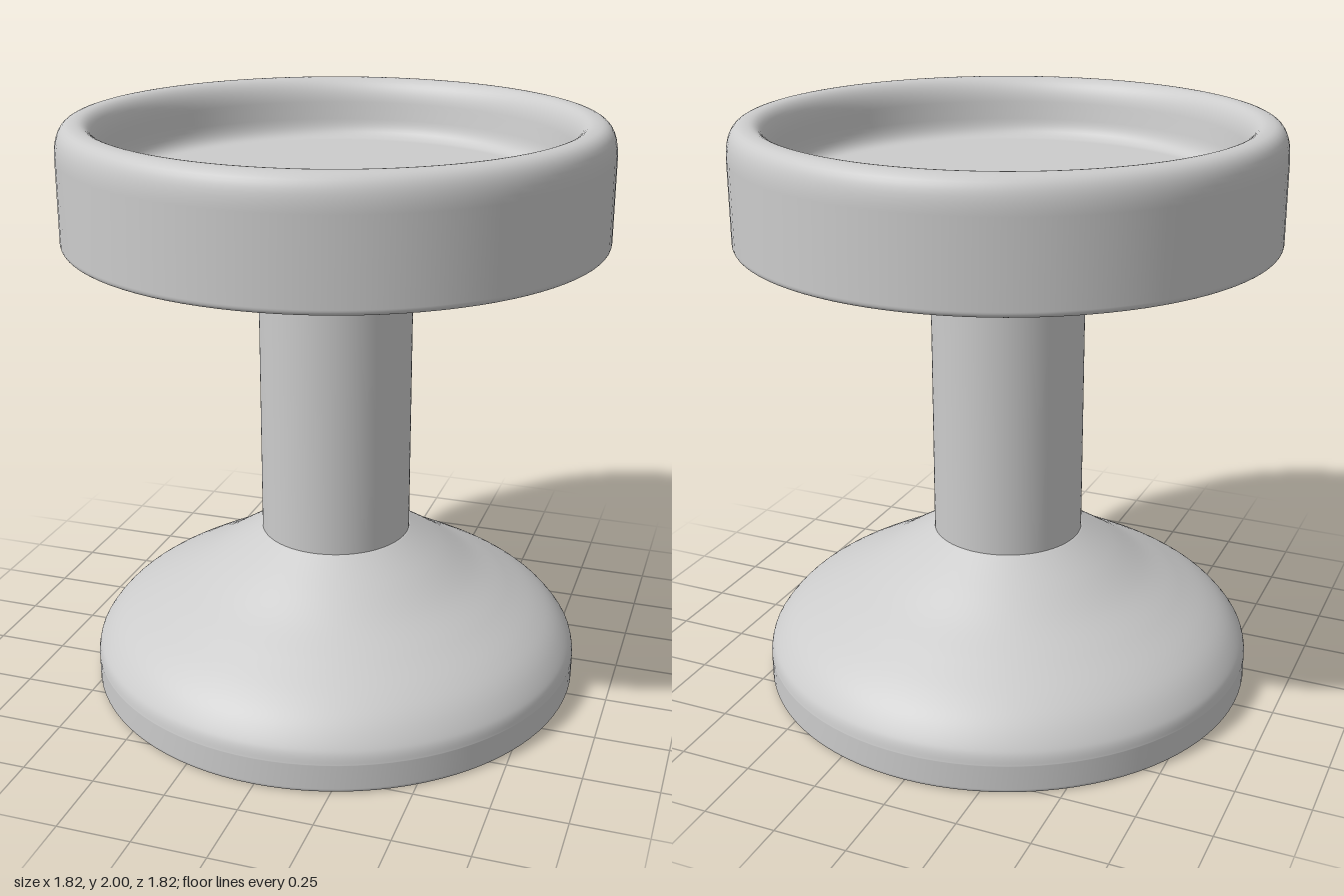
import * as THREE from 'three';

const SEGMENTS = 96;
const v = (x, y) => new THREE.Vector2(x, y);

// Revolve a profile (radius, height) around the y axis
function turned(name, path) {
  const geometry = new THREE.LatheGeometry(path.getPoints(10), SEGMENTS);
  const material = new THREE.MeshStandardMaterial({ color: 0xcccccc, side: THREE.DoubleSide });
  const mesh = new THREE.Mesh(geometry, material);
  mesh.name = name;
  return mesh;
}

export function createModel() {
  const group = new THREE.Group();
  group.name = 'pedestalStand';

  // Flared foot: hollow underside, thin rim, then the outer bell curve
  const foot = new THREE.Path();
  foot.moveTo(0.25, 0.28);
  foot.splineThru([v(0.36, 0.21), v(0.5, 0.125), v(0.62, 0.065), v(0.72, 0.03), v(0.82, 0.005)]);
  foot.lineTo(0.85, 0);
  foot.quadraticCurveTo(0.863, 0, 0.863, 0.015);
  foot.lineTo(0.863, 0.1);
  foot.splineThru([v(0.85, 0.145), v(0.8, 0.208), v(0.73, 0.263), v(0.62, 0.328),
    v(0.5, 0.395), v(0.38, 0.472), v(0.262, 0.545)]);
  foot.lineTo(0.25, 0.547);
  group.add(turned('foot', foot));

  // Round column whose lower end shows inside the hollow foot
  const column = new THREE.Path();
  column.moveTo(0, 0.09);
  column.lineTo(0.225, 0.09);
  column.quadraticCurveTo(0.262, 0.092, 0.262, 0.13);
  column.lineTo(0.262, 1.47);
  column.quadraticCurveTo(0.262, 1.56, 0.235, 1.605);
  column.lineTo(0.2, 1.65);
  column.lineTo(0, 1.65);
  group.add(turned('column', column));

  // Shallow dish with a rounded lip and recessed floor
  const dish = new THREE.Path();
  dish.moveTo(0, 1.6);
  dish.lineTo(0.89, 1.6);
  dish.quadraticCurveTo(0.91, 1.6, 0.91, 1.62);
  dish.lineTo(0.91, 1.89);
  dish.bezierCurveTo(0.91, 1.96, 0.89, 2, 0.845, 2);
  dish.lineTo(0.835, 2);
  dish.bezierCurveTo(0.8, 2, 0.775, 1.96, 0.77, 1.9);
  dish.lineTo(0.765, 1.87);
  dish.bezierCurveTo(0.76, 1.82, 0.745, 1.79, 0.7, 1.79);
  dish.lineTo(0.68, 1.79);
  dish.lineTo(0, 1.79);
  group.add(turned('dish', dish));

  return group;
}
